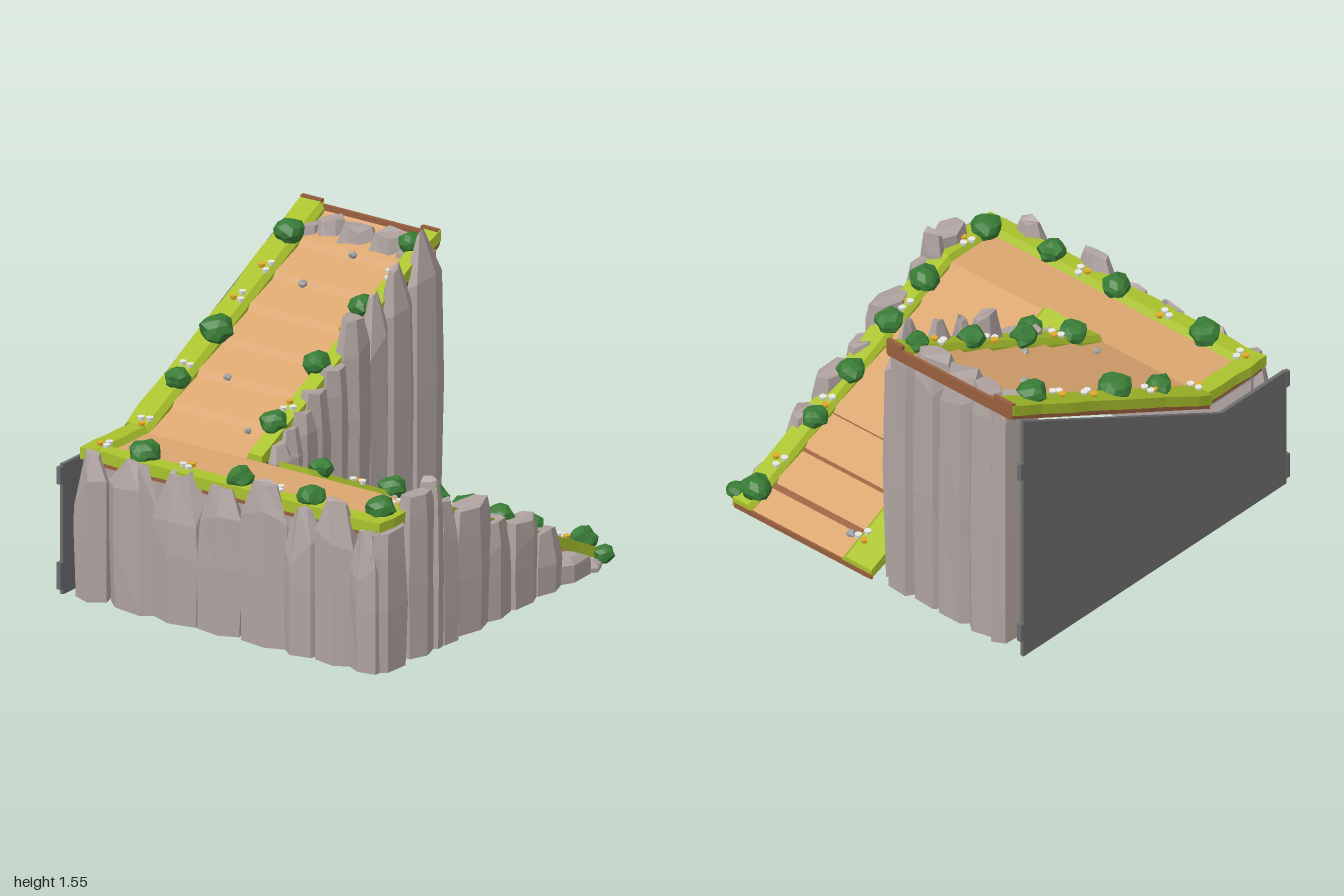
import * as THREE from 'three';
import { mergeGeometries } from 'three/addons/utils/BufferGeometryUtils.js';

const mat = (name, color) => {
  const m = new THREE.MeshStandardMaterial({ color, flatShading: true });
  m.name = name;
  return m;
};

// Seeded random numbers
let seed = 7;
const rnd = (a = 0, b = 1) => {
  seed = (seed * 16807) % 2147483647;
  return a + (b - a) * (seed / 2147483647);
};

// Joins closed cross-sections into a capped solid and turns it outward
function loft(rings) {
  const tris = [], n = rings[0].length;
  for (let i = 0; i < rings.length - 1; i++) {
    const a = rings[i], b = rings[i + 1];
    for (let j = 0; j < n; j++) {
      const k = (j + 1) % n;
      tris.push([a[j], b[j], b[k]], [a[j], b[k], a[k]]);
    }
  }
  const last = rings[rings.length - 1];
  for (let j = 1; j < n - 1; j++) {
    tris.push([rings[0][0], rings[0][j], rings[0][j + 1]], [last[0], last[j + 1], last[j]]);
  }
  const v = p => new THREE.Vector3(...p);
  const volume = tris.reduce((s, [a, b, c]) => s + v(a).dot(v(b).cross(v(c))), 0);
  const pos = tris.flatMap(([a, b, c]) => (volume < 0 ? [a, c, b] : [a, b, c])).flat();
  const g = new THREE.BufferGeometry();
  g.setAttribute('position', new THREE.Float32BufferAttribute(pos, 3));
  g.computeVertexNormals();
  return g;
}

const box = (x0, x1, y0, y1, z0, z1) => loft([x0, x1].map(x =>
  [[x, y0, z0], [x, y1, z0], [x, y1, z1], [x, y0, z1]]));

// Surface heights of the two ramps; both level out at the landing
const X0 = -0.5, X1 = 0.97;
const lower = x => 0.735 - 0.485 * Math.max(0, x - X0);
const upper = x => 0.735 + 0.5 * Math.max(0, x - X0);
const ground = (x, z) => (z > -0.05 ? lower(x) : upper(x));

// Blocky cliff column from base to h; tip is the width left at the slanted top
function column(x, z, w, d, h, tip = 0.6, base = 0) {
  const n = 6, turn = rnd(0, 1), lean = rnd(-0.12, 0.12), tall = h - base;
  const cap = Math.min(0.1 + 0.2 * (1 - tip), tall * 0.4);
  const radii = Array.from({ length: n }, () => rnd(0.92, 1.1));
  const levels = [[0, 0.98], [tall * 0.45, 1.03], [tall - cap, 0.98], [tall, tip]];
  return loft(levels.map(([y, s], i) => radii.map((r, j) => {
    const a = turn + (j / n) * Math.PI * 2, k = s * r * rnd(0.94, 1.06) * 0.56;
    const dip = i === 2 ? rnd(-0.4, 0.4) * cap : i === 3 ? -rnd(0, 0.2) * cap : 0;
    return [x + w * (Math.cos(a) * k + (i === 3 ? lean * (1 - tip) : 0)),
      base + y + dip, z + d * Math.sin(a) * k];
  })));
}

// Faceted lump used for bushes and pebbles
function lump(x, y, z, r, detail, rough) {
  const g = new THREE.IcosahedronGeometry(r, detail), p = g.attributes.position;
  const ph = rnd(0, 6), f = 3.2 / r;
  for (let i = 0; i < p.count; i++) {
    const a = p.getX(i), b = p.getY(i), c = p.getZ(i);
    const s = 1 + rough * Math.sin(a * f + ph) * Math.cos(b * f + c * f * 1.3 + ph);
    p.setXYZ(i, a * s, b * s * 0.85, c * s);
  }
  g.rotateY(ph);
  g.translate(x, y, z);
  g.deleteAttribute('uv');
  g.computeVertexNormals();
  return g;
}

export function createModel() {
  const model = new THREE.Group();
  model.name = 'cliffRamp';
  const M = {
    rock: mat('rock', 0xafa3a0), grass: mat('grass', 0xa9c22c), road: mat('dirtRoad', 0xdba66f),
    soil: mat('soil', 0x995f3e), bush: mat('bush', 0x3a7d37), plate: mat('backPlate', 0x6c6c6e),
    pebble: mat('pebble', 0xa3a2a5), white: mat('whitePetal', 0xe8e8e6), yellow: mat('yellowPetal', 0xe3aa2c),
  };
  const add = (name, geos, m) => {
    const mesh = new THREE.Mesh(mergeGeometries(geos), m);
    mesh.name = name;
    model.add(mesh);
  };

  // Soil slab under the road and grass, with boards at the ramp ends
  const slab = (h, z0, z1) => loft([X0, X1].map(x => {
    const b = Math.max(0, h(x) - 0.062), t = Math.max(h(x) - 0.026, b + 0.004);
    return [[x, b, z0], [x, t, z0], [x, t, z1], [x, b, z1]];
  }));
  add('soilSlab', [
    slab(lower, 0.005, 0.89), slab(upper, -0.905, -0.105), box(-0.895, X0, 0.68, 0.709, -0.89, 0.89),
    box(0.96, 0.973, 0, 0.028, 0.0, 0.9), box(0.955, 0.972, 1.43, 1.478, -0.9, -0.12),
    box(0.95, 0.973, 1.42, 1.503, -0.925, -0.8), box(0.95, 0.973, 1.42, 1.503, -0.2, -0.1),
  ], M.soil);

  // Road: gentle planks joined by short steep steps
  const road = (h, z0, z1, s) => {
    const rings = [];
    for (let k = 0; k < 7; k++) {
      const x = X0 + 0.21 * k;
      rings.push([x, h(x)], [x + s, h(x + s) - 0.022]);
    }
    rings.push([X1, h(X1)]);
    return loft(rings.map(([px, y]) => {
      const b = Math.max(0.002, h(px) - 0.045);
      return [[px, b, z0], [px, y, z0], [px, y, z1], [px, b, z1]];
    }));
  };
  add('road', [road(lower, 0.15, 0.84, 0.025), road(upper, -0.84, -0.15, 0.185),
    box(-0.86, X0, 0.69, 0.735, -0.85, 0.85)], M.road);

  // Grass borders: flat top, narrow bevel to the road, slightly uneven outer edge
  const verge = (h, xa, xb, zo, zi, wobble = 0.008) => {
    const n = Math.round((xb - xa) / 0.12) + 1, mid = zo + (zi - zo) * 0.84;
    return loft(Array.from({ length: n + 1 }, (_, i) => {
      const x = xa + (xb - xa) * i / n, y = h(x), o = zo + rnd(-wobble, wobble);
      const b = Math.max(0.004, y - 0.03);
      return [[x, b, o], [x, y + 0.03, o], [x, y + 0.033, mid], [x, y - 0.002, zi], [x, b, zi]];
    }));
  };
  const sideVerge = loft(Array.from({ length: 16 }, (_, i) => {
    const z = -0.9 + 0.12 * i, o = -0.91 + rnd(-0.008, 0.008);
    return [[o, 0.705, z], [o, 0.765, z], [-0.825, 0.768, z], [-0.8, 0.733, z], [-0.8, 0.705, z]];
  }));
  add('grassBorder', [
    sideVerge, verge(upper, -0.9, X0, -0.9, -0.79), verge(upper, X0, X1, -0.925, -0.785),
    verge(upper, X0, X1, -0.1, -0.2), verge(lower, X0, X1, 0.0, 0.2, 0),
    verge(lower, -0.9, X0, 0.905, 0.79), verge(lower, X0, X1, 0.905, 0.79),
  ], M.grass);

  // Flat walls behind the cliff columns and the rock bed under the landing
  const sheet = (xs, z, bottom, top) => loft(xs.map(x => {
    const b = bottom(x), t = Math.max(b + 0.01, top(x));
    return [[x, b, z], [x, t, z], [x, t, z + 0.02], [x, b, z + 0.02]];
  }));
  add('innerWalls', [
    sheet([-0.86, X0, 0.95], 0.805, () => 0, x => lower(x) - 0.05),
    sheet([-0.45, 0.94], -0.17, x => Math.max(0, lower(x) - 0.03), x => upper(x) - 0.05),
    box(-0.845, -0.825, 0, 0.68, -0.88, 0.82), box(0.88, 0.9, 0, 1.41, -0.83, -0.13),
    box(-0.88, X0, 0.66, 0.682, -0.88, 0.86),
  ], M.rock);

  // Cliff columns: [position along wall, width, height, tip]
  const front = [[-0.83, 0.26, 0.74, 0.85], [-0.6, 0.21, 0.85, 0.85], [-0.485, 0.08, 0.88, 0.7],
    [-0.39, 0.18, 0.74, 0.6], [-0.18, 0.26, 0.66, 0.85], [0.03, 0.23, 0.52, 0.7], [0.25, 0.25, 0.45, 0.85],
    [0.46, 0.22, 0.33, 0.7], [0.66, 0.25, 0.13, 0.5], [0.81, 0.14, 0.05, 0.5]];
  const inner = [[-0.38, 0.14, 0.81, 0.6], [-0.28, 0.15, 0.86, 0.6], [-0.18, 0.17, 0.92, 0.6],
    [-0.07, 0.17, 0.99, 0.7], [0.08, 0.18, 1.08, 0.75], [0.24, 0.21, 1.28, 0.6], [0.4, 0.2, 1.36, 0.25],
    [0.6, 0.24, 1.44, 0.25], [0.835, 0.26, 1.56, 0.15]];
  const left = [[-0.82, 0.2, 0.77, 0.4], [-0.56, 0.3, 0.79, 0.4], [-0.29, 0.28, 0.79, 0.4],
    [-0.04, 0.25, 0.76, 0.5], [0.23, 0.28, 0.85, 0.5], [0.45, 0.2, 0.77, 0.4], [0.65, 0.23, 0.85, 0.5],
    [0.84, 0.18, 0.74, 0.5]];
  const end = [[-0.17, 0.2, 1.42, 0.9], [-0.33, 0.24, 1.475, 0.7], [-0.51, 0.24, 1.475, 0.6],
    [-0.68, 0.22, 1.475, 0.6], [-0.79, 0.13, 1.43, 0.9]];
  add('frontCliff', front.map(([x, w, h, t]) => column(x, 0.9, w, 0.13, h, t)), M.rock);
  // The inner cliff starts level with the lower ramp
  add('innerCliff', inner.map(([x, w, h, t]) =>
    column(x, -0.1, w, 0.12, h, t, Math.max(0, lower(x) - 0.04))), M.rock);
  add('leftCliff', left.map(([z, w, h, t]) => column(-0.92, z, 0.13, w, h, t)), M.rock);
  add('endCliff', end.map(([z, w, h, t]) => column(0.868, z, 0.18, w, h, t)), M.rock);

  // Back plate with edge tabs
  const shape = new THREE.Shape([[-0.975, 0], [0.95, 0], [0.95, 1.42], [X0, 0.68], [-0.975, 0.68]]
    .map(p => new THREE.Vector2(...p)));
  const plate = new THREE.ExtrudeGeometry(shape, { depth: 0.02, bevelEnabled: false });
  plate.translate(0, 0, -0.98);
  add('backPlate', [plate], M.plate);
  add('plateTabs', [[-1, 0.03, 0.17], [-1, 0.58, 0.67], [0.945, 0.1, 0.2], [0.945, 1.07, 1.17]]
    .map(([x, a, b]) => box(x, x + 0.028, a, b, -0.982, -0.958)), M.plate);

  // Bushes: [x, z, radius]
  const bushes = [[-0.22, -0.82, 0.065], [0.1, -0.82, 0.085], [0.73, -0.83, 0.075], [-0.84, -0.57, 0.08],
    [-0.84, 0.01, 0.07], [-0.84, 0.44, 0.07], [-0.78, 0.81, 0.075], [-0.32, -0.17, 0.07], [0.06, -0.18, 0.07],
    [0.43, -0.17, 0.07], [0.84, -0.18, 0.06], [-0.37, 0.16, 0.06], [0.21, 0.16, 0.07], [-0.34, 0.82, 0.075],
    [-0.09, 0.83, 0.075], [0.2, 0.82, 0.07], [0.47, 0.82, 0.065], [0.89, 0.82, 0.075], [0.91, 0.93, 0.055]];
  add('bushes', bushes.map(([x, z, r]) =>
    lump(x, Math.max(r * 0.8, ground(x, z) + (z > 0.9 ? 0 : 0.05)), z, r, 1, 0.2)), M.bush);

  // Pebbles on the road
  const pebbles = [[-0.35, -0.3], [-0.09, -0.61], [0.15, -0.27], [0.52, -0.6], [0.74, -0.46],
    [-0.24, 0.51], [0.06, 0.54], [0.39, 0.36], [0.48, 0.29], [0.84, 0.25]];
  add('pebbles', pebbles.map(([x, z]) => lump(x, ground(x, z), z, rnd(0.018, 0.028), 0, 0.15)), M.pebble);

  // Flower clusters: one yellow and two white heads each
  const clusters = [[-0.83, -0.81], [-0.48, -0.83], [-0.13, -0.84], [0.32, -0.84], [0.52, -0.82], [-0.83, -0.31],
    [-0.83, 0.23], [-0.2, -0.16], [0.28, -0.17], [0.65, -0.16], [-0.05, 0.15], [0.5, 0.16], [0.85, 0.16],
    [-0.64, 0.82], [-0.2, 0.83], [0.37, 0.83], [0.72, 0.83]];
  const heads = { white: [], yellow: [] };
  for (const [x, z] of clusters) {
    const a0 = rnd(0, 6);
    for (let i = 0; i < 3; i++) {
      const a = a0 + i * 2.1, px = x + 0.027 * Math.cos(a), pz = z + 0.027 * Math.sin(a);
      const g = new THREE.CylinderGeometry(0.02, 0.015, 0.02, 6);
      heads[i ? 'white' : 'yellow'].push(g.translate(px, ground(px, pz) + 0.04, pz));
    }
  }
  add('whiteFlowers', heads.white, M.white);
  add('yellowFlowers', heads.yellow, M.yellow);
  return model;
}
